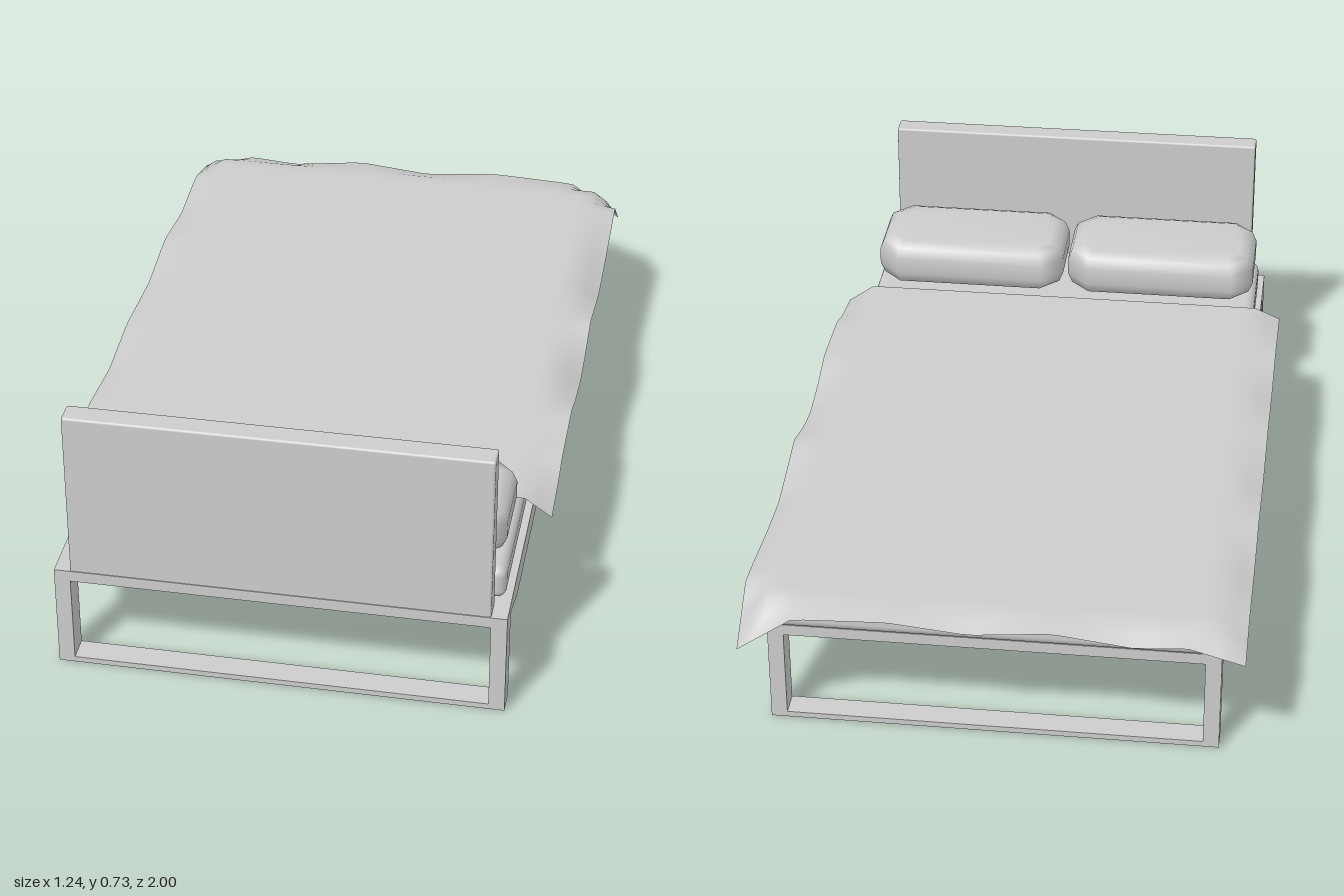
import * as THREE from 'three';
import { mergeVertices } from 'three/addons/utils/BufferGeometryUtils.js';
import { RoundedBoxGeometry } from 'three/addons/geometries/RoundedBoxGeometry.js';

const paleGrey = new THREE.MeshStandardMaterial({ color: 0xcccccc });
paleGrey.name = 'paleGrey';
const clothGrey = new THREE.MeshStandardMaterial({ color: 0xcccccc, side: THREE.DoubleSide });
clothGrey.name = 'clothGrey';

function add(group, name, geometry, x = 0, y = 0, z = 0, material = paleGrey) {
  const mesh = new THREE.Mesh(geometry, material);
  mesh.name = name;
  mesh.position.set(x, y, z);
  group.add(mesh);
  return mesh;
}

const shapeFrom = (points) => new THREE.Shape(points.map(([x, y]) => new THREE.Vector2(x, y)));

// Linear interpolation through [position, value] pairs
function sample(points, t) {
  for (let i = 1; i < points.length; i++) {
    const [a, va] = points[i - 1];
    const [b, vb] = points[i];
    if (t <= b) return va + (vb - va) * THREE.MathUtils.clamp((t - a) / (b - a), 0, 1);
  }
  return points[points.length - 1][1];
}

// Rectangular leg loop with an open middle
function legFrame() {
  const shape = shapeFrom([[-0.56, 0], [0.56, 0], [0.56, 0.28], [-0.56, 0.28]]);
  shape.holes.push(shapeFrom([[-0.52, 0.015], [-0.52, 0.25], [0.52, 0.25], [0.52, 0.015]]));
  return new THREE.ExtrudeGeometry(shape, { depth: 0.065, bevelEnabled: false });
}

// Side rail, deeper towards the head
function sideRail() {
  const shape = shapeFrom([[0.94, 0.28], [0.94, 0.25], [0.91, 0.245], [0.8, 0.21],
    [-0.68, 0.23], [-0.85, 0.25], [-0.85, 0.28]]);
  const geometry = new THREE.ExtrudeGeometry(shape, { depth: 0.045, bevelEnabled: false });
  return geometry.rotateY(-Math.PI / 2).translate(0.0225, 0, 0);
}

// Pillow: octagonal outline with sloped top and bottom, smooth shaded
function pillow() {
  const w = 0.225, d = 0.105, c = 0.035;
  const shape = shapeFrom([[-w + c, -d], [w - c, -d], [w, -d + c], [w, d - c],
    [w - c, d], [-w + c, d], [-w, d - c], [-w, -d + c]]);
  const geometry = new THREE.ExtrudeGeometry(shape,
    { depth: 0.046, bevelThickness: 0.042, bevelSize: 0.04, bevelSegments: 2 });
  geometry.center().rotateX(-Math.PI / 2);
  geometry.deleteAttribute('normal');
  geometry.deleteAttribute('uv');
  const smooth = mergeVertices(geometry, 1e-4);
  smooth.computeVertexNormals();
  return smooth;
}

// Blanket: flat sheet whose overhanging hems sag by uneven amounts
function blanket() {
  const leftHem = [[-1, 0.12], [-0.86, 0.01], [-0.6, 0.04], [-0.45, 0.05], [-0.35, 0.03], [-0.22, 0],
    [-0.1, 0.035], [0, 0.05], [0.12, 0.03], [0.22, 0], [0.42, 0.005], [0.5, 0.03], [0.63, 0.05]];
  const rightHem = [[-1, 0.065], [-0.85, 0.02], [-0.65, 0.035], [-0.45, 0.005], [-0.25, 0.03],
    [0, 0.01], [0.2, 0.03], [0.4, 0.005], [0.63, 0.03]];
  const footHem = [[-0.62, 0.065], [-0.48, 0.025], [-0.35, 0.035], [-0.15, 0.01], [0.05, 0.03],
    [0.25, 0.01], [0.48, 0.02], [0.62, 0.12]];
  const geometry = new THREE.PlaneGeometry(1.24, 1.63, 36, 48);
  geometry.rotateX(-Math.PI / 2).translate(0, 0, -0.185);
  const p = geometry.attributes.position;
  for (let i = 0; i < p.count; i++) {
    const x = p.getX(i), z = p.getZ(i);
    const side = Math.max(0, (Math.abs(x) - 0.55) / 0.07);
    const foot = Math.max(0, (-0.93 - z) / 0.07);
    const sag = Math.max(side * sample(x > 0 ? leftHem : rightHem, z), foot * sample(footHem, x));
    p.setY(i, 0.375 - sag);
  }
  geometry.computeVertexNormals();
  return geometry;
}

export function createModel() {
  const bed = new THREE.Group();
  bed.name = 'bed';

  // Frame
  add(bed, 'headLegs', legFrame(), 0, 0, 0.935);
  add(bed, 'footLegs', legFrame(), 0, 0, -0.92);
  for (const s of [-1, 1]) add(bed, s > 0 ? 'leftRail' : 'rightRail', sideRail(), s * 0.5375);
  add(bed, 'basePanel', new THREE.BoxGeometry(1.03, 0.02, 1.8), 0, 0.268, 0.04);
  add(bed, 'headboard', new RoundedBoxGeometry(1.04, 0.47, 0.06, 2, 0.006), 0, 0.495, 0.968);

  // Bedding
  add(bed, 'mattress', new RoundedBoxGeometry(1.09, 0.09, 1.865, 3, 0.025), 0, 0.325, -0.0025);
  add(bed, 'blanket', blanket(), 0, 0, 0, clothGrey);
  for (const s of [-1, 1]) add(bed, s > 0 ? 'leftPillow' : 'rightPillow', pillow(), s * 0.272, 0.444, 0.777);

  return bed;
}
